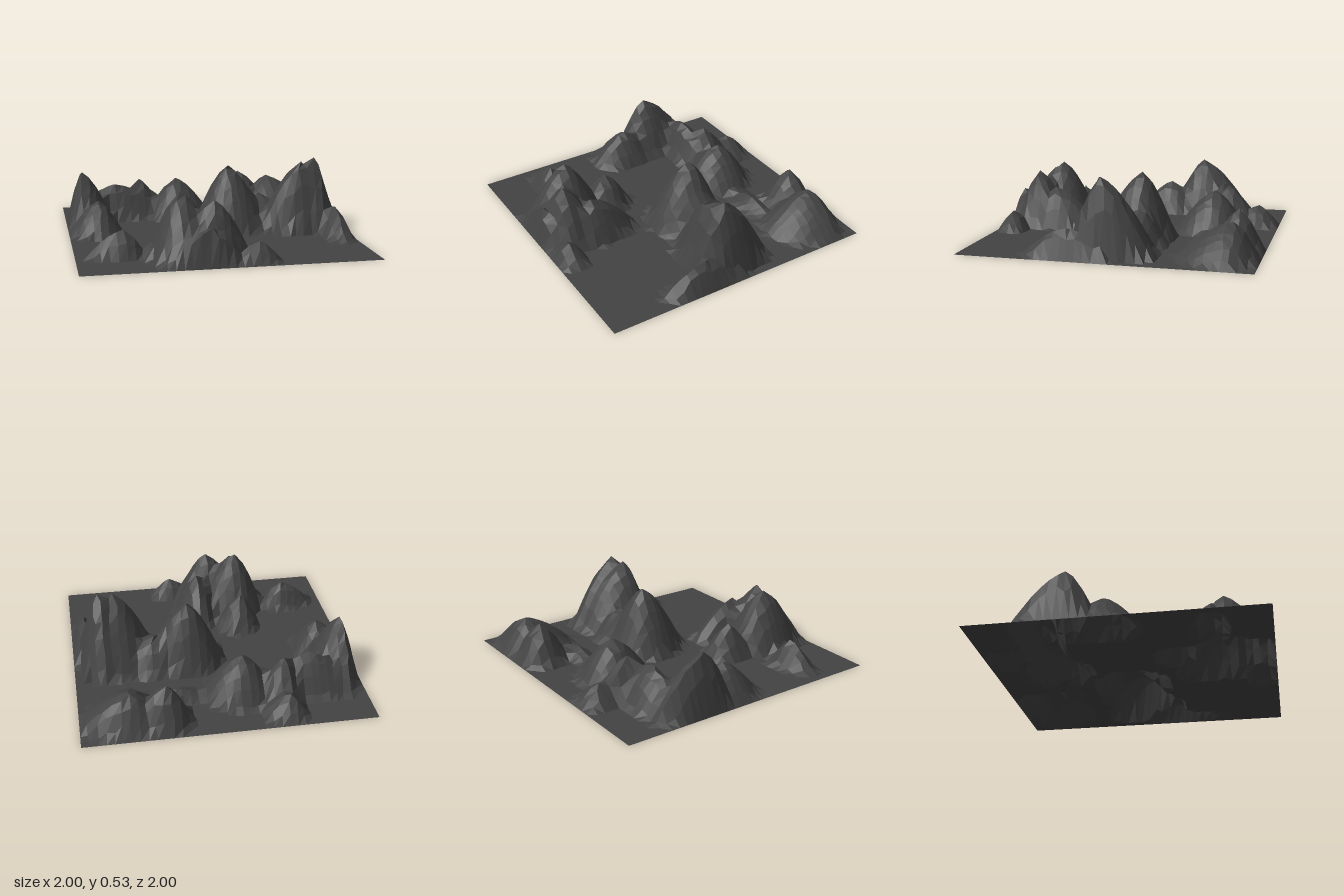
import * as THREE from 'three';

// Summits: x, z, height, then how far the slope runs west, east, north (-z) and south (+z).
const summits = [
  // western peak, its southern shoulder and the northern ridge
  [-0.88, -0.34, 0.41, 0.12, 0.24, 0.39, 0.24],
  [-0.78, -0.1, 0.24, 0.22, 0.17, 0.25, 0.26],
  [-0.62, -0.54, 0.27, 0.38, 0.5, 0.21, 0.13],
  [-0.42, -0.62, 0.29, 0.13, 0.2, 0.23, 0.18],
  [-0.42, -0.85, 0.15, 0.12, 0.2, 0.15, 0.25],
  [-0.14, -0.56, 0.3, 0.23, 0.28, 0.24, 0.29],
  // north-eastern mountain and the low ridge beside it
  [0.42, -0.82, 0.29, 0.18, 0.26, 0.17, 0.21],
  [0.66, -0.81, 0.25, 0.23, 0.34, 0.18, 0.38],
  [0.32, -0.56, 0.08, 0.24, 0.28, 0.11, 0.09],
  // eastern massif, its saddle and spur
  [0.18, -0.09, 0.47, 0.27, 0.3, 0.24, 0.32],
  [0.42, -0.13, 0.25, 0.25, 0.25, 0.19, 0.31],
  [0.69, 0.08, 0.51, 0.31, 0.25, 0.39, 0.18],
  [0.8, 0.04, 0.53, 0.25, 0.16, 0.37, 0.24],
  [0.9, 0.25, 0.2, 0.11, 0.1, 0.4, 0.33],
  // southern mountain, its northern knoll and front buttress
  [-0.31, 0.66, 0.44, 0.22, 0.3, 0.27, 0.33],
  [-0.1, 0.78, 0.4, 0.28, 0.25, 0.25, 0.18],
  [0, 0.62, 0.3, 0.15, 0.17, 0.35, 0.2],
  [-0.3, 0.34, 0.25, 0.15, 0.18, 0.18, 0.18],
  [-0.14, 0.92, 0.25, 0.34, 0.22, 0.2, 0.08],
  [0.18, 0.89, 0.14, 0.2, 0.15, 0.12, 0.11],
  // low south-western hill
  [-0.68, 0.6, 0.19, 0.26, 0.16, 0.12, 0.12],
];

const SEGMENTS = 36;

// Each mountain is a lopsided bulging cone; the highest one wins.
function heightAt(x, z) {
  return Math.max(0, ...summits.map(([cx, cz, height, west, east, north, south]) => {
    const dx = (x - cx) / (x < cx ? west : east);
    const dz = (z - cz) / (z < cz ? north : south);
    return height * (1 - Math.hypot(dx, dz) ** 1.5);
  }));
}

// Repeatable scatter between -1 and 1.
const scatter = i => Math.sin(i * 127.1 + Math.sin(i * 3.7) * 43.5);

export function createModel() {
  const geometry = new THREE.PlaneGeometry(2, 2, SEGMENTS, SEGMENTS).rotateX(-Math.PI / 2);
  const position = geometry.attributes.position;

  // loosen the inner grid for irregular facets
  for (let row = 1; row < SEGMENTS; row++) {
    for (let col = 1; col < SEGMENTS; col++) {
      const i = row * (SEGMENTS + 1) + col;
      position.setX(i, position.getX(i) + 0.008 * scatter(i));
      position.setZ(i, position.getZ(i) + 0.008 * scatter(i + 5000));
    }
  }

  // put a vertex exactly on every summit
  for (const [x, z] of summits) {
    const col = Math.round((x + 1) / 2 * SEGMENTS);
    const row = Math.round((z + 1) / 2 * SEGMENTS);
    position.setXYZ(row * (SEGMENTS + 1) + col, x, 0, z);
  }

  // raise the mountains, keeping the outer rim on the ground
  for (let i = 0; i < position.count; i++) {
    const x = position.getX(i), z = position.getZ(i);
    const onRim = Math.max(Math.abs(x), Math.abs(z)) > 0.999;
    position.setY(i, onRim ? 0 : heightAt(x, z));
  }
  geometry.computeVertexNormals();

  const material = new THREE.MeshStandardMaterial({ color: 0x434343, flatShading: true, side: THREE.DoubleSide });
  const terrain = new THREE.Mesh(geometry, material);
  terrain.name = 'mountainTerrain';
  const group = new THREE.Group();
  group.name = 'landscape';
  group.add(terrain);
  return group;
}
